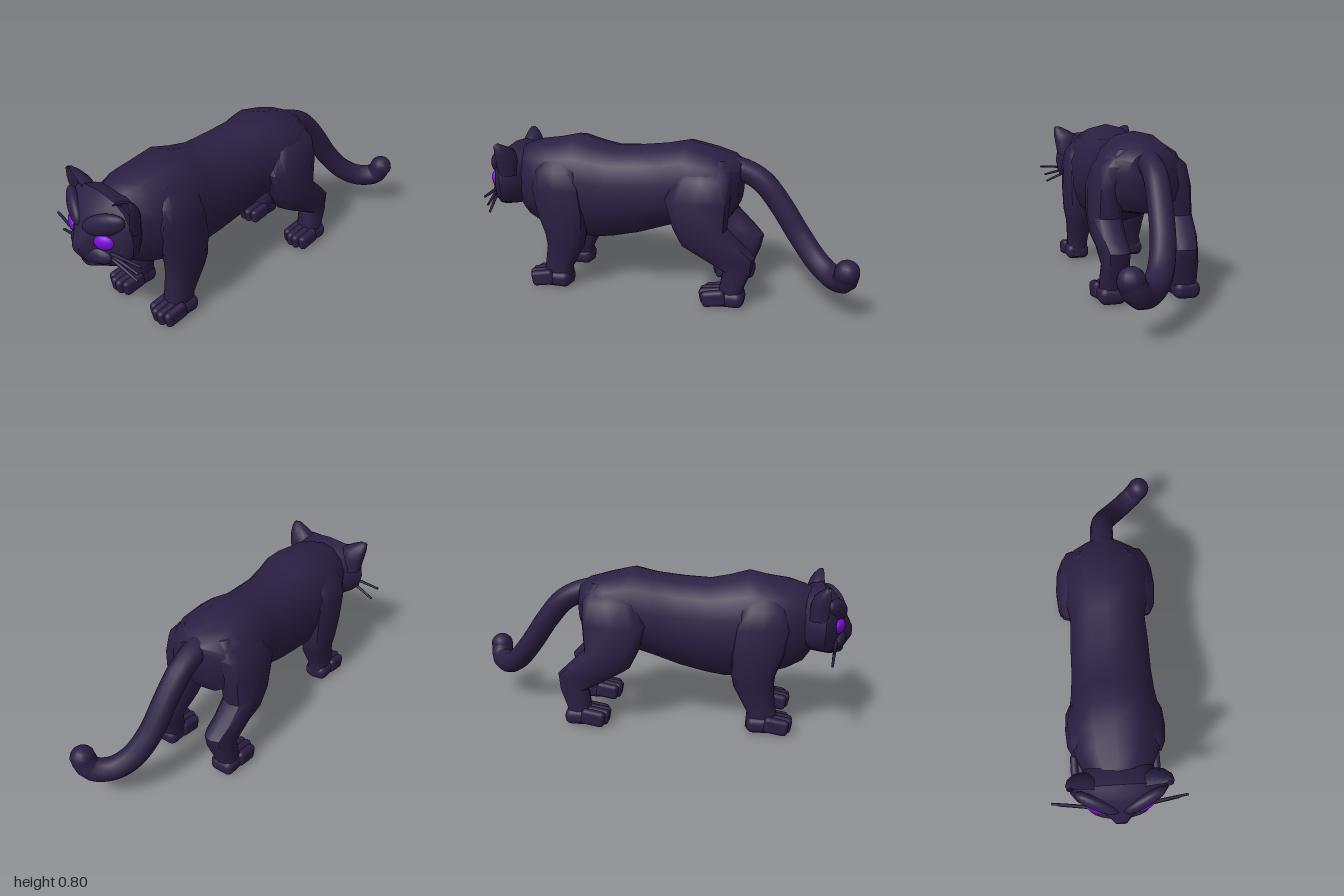
import * as THREE from 'three';
import { toCreasedNormals } from 'three/addons/utils/BufferGeometryUtils.js';
import { RoundedBoxGeometry } from 'three/addons/geometries/RoundedBoxGeometry.js';

const fur = new THREE.MeshStandardMaterial({ color: 0x2a1f42 });
fur.name = 'dark fur';
const glow = new THREE.MeshStandardMaterial({ color: 0x7d0ad8 });
glow.name = 'violet eye';

const V = (x, y, z) => new THREE.Vector3(x, y, z);

// Rounded-square oval as n [u, v] pairs; a smaller power is boxier
function oval(n, power) {
  const soft = (t) => Math.sign(t) * Math.pow(Math.abs(t), power);
  return Array.from({ length: n }, (_, i) => {
    const a = (i / n) * Math.PI * 2;
    return [soft(Math.sin(a)), soft(Math.cos(a))];
  });
}

// Closed skin over a row of rings, always facing outward
function loft(rings) {
  const n = rings[0].length, pts = rings.flat(), tris = [];
  for (let r = 0; r < rings.length - 1; r++) {
    for (let i = 0; i < n; i++) {
      const a = r * n + i, b = r * n + (i + 1) % n;
      tris.push([a, b, b + n], [a, b + n, a + n]);
    }
  }
  [0, rings.length - 1].forEach((r, end) => {
    const mid = V(0, 0, 0);
    rings[r].forEach((p) => mid.addScaledVector(p, 1 / n));
    const c = pts.push(mid) - 1;
    for (let i = 0; i < n; i++) {
      const a = r * n + i, b = r * n + (i + 1) % n;
      tris.push(end ? [a, b, c] : [b, a, c]);
    }
  });
  let volume = 0;
  tris.forEach(([a, b, c]) => { volume += pts[a].dot(V(0, 0, 0).crossVectors(pts[b], pts[c])); });
  const geo = new THREE.BufferGeometry().setFromPoints(pts);
  geo.setIndex(tris.flatMap(([a, b, c]) => (volume > 0 ? [a, b, c] : [a, c, b])));
  return toCreasedNormals(geo, 0.75);
}

// Trunk rings along z: [z, bottom, widest height, top, half width]
const trunk = (rows, n, power) => loft(rows.map(([z, low, mid, top, w]) =>
  oval(n, power).map(([u, v]) => V(u * w, mid + v * (v > 0 ? top - mid : mid - low), z))));

// Upright rings: [y, centre x, half width, back z, front z]; hollow dents the front
const limb = (rows, side, power = 0.75, hollow = false) => loft(rows.map(([y, x, w, back, front]) =>
  oval(12, power).map(([u, v]) => V(side * (x + u * w), y,
    (back + front) / 2 + (hollow && v > 0.6 ? -0.1 : v) * (front - back) / 2))));

export function createModel() {
  const model = new THREE.Group();
  model.name = 'bigCat';
  const add = (name, geo, mat = fur, parent = model) => {
    const m = new THREE.Mesh(geo, mat);
    m.name = name;
    parent.add(m);
    return m;
  };

  add('body', trunk([
    [0.82, 0.43, 0.56, 0.71, 0.12],
    [0.76, 0.34, 0.56, 0.74, 0.165],
    [0.68, 0.30, 0.55, 0.765, 0.205],
    [0.58, 0.27, 0.53, 0.78, 0.222],
    [0.48, 0.25, 0.52, 0.803, 0.222],
    [0.38, 0.24, 0.52, 0.775, 0.207],
    [0.28, 0.255, 0.52, 0.755, 0.2],
    [0.14, 0.29, 0.53, 0.763, 0.198],
    [0, 0.34, 0.54, 0.78, 0.19],
    [-0.11, 0.38, 0.56, 0.803, 0.215],
    [-0.24, 0.40, 0.58, 0.77, 0.228],
    [-0.34, 0.42, 0.59, 0.742, 0.185],
    [-0.385, 0.5, 0.6, 0.715, 0.105],
  ], 14, 0.9));

  // Head, with the face stepped back around the eyes
  const head = new THREE.Group();
  head.name = 'head';
  model.add(head);
  add('skull', trunk([
    [0.74, 0.44, 0.56, 0.71, 0.15],
    [0.80, 0.415, 0.56, 0.73, 0.21],
    [0.85, 0.41, 0.56, 0.738, 0.232],
    [0.89, 0.40, 0.55, 0.71, 0.2],
    [0.92, 0.395, 0.54, 0.685, 0.13],
    [0.943, 0.395, 0.53, 0.65, 0.085],
    [0.972, 0.44, 0.52, 0.585, 0.05],
    [0.998, 0.48, 0.51, 0.535, 0.026],
  ], 16, 0.77), fur, head);
  const blob = (name, at, size, mat = fur, yaw = 0, tilt = 0) => {
    const m = add(name, new THREE.SphereGeometry(1, 20, 14), mat, head);
    m.position.set(...at);
    m.scale.set(...size);
    m.rotation.set(0, yaw, tilt);
  };
  blob('chin', [0, 0.422, 0.935], [0.052, 0.032, 0.03]);
  blob('muzzle', [0, 0.478, 0.912], [0.15, 0.062, 0.062]);

  for (const side of [1, -1]) {
    const label = side > 0 ? 'left' : 'right';

    blob(label + 'Eye', [side * 0.12, 0.56, 0.925], [0.05, 0.037, 0.022], glow, side * 0.46, side * 0.15);
    blob(label + 'Brow', [side * 0.11, 0.64, 0.912], [0.115, 0.052, 0.034], fur, side * 0.42, side * 0.36);

    add(label + 'Ear', limb([
      [0.60, 0.16, 0.065, 0.77, 0.88],
      [0.68, 0.168, 0.07, 0.775, 0.885],
      [0.72, 0.176, 0.068, 0.79, 0.885],
      [0.745, 0.198, 0.045, 0.81, 0.877],
      [0.762, 0.214, 0.026, 0.83, 0.872],
      [0.77, 0.219, 0.012, 0.84, 0.865],
    ], side, 0.9, true), fur, head);

    add(label + 'FrontLeg', limb([
      [0.71, 0.13, 0.03, 0.48, 0.62],
      [0.64, 0.16, 0.065, 0.44, 0.665],
      [0.55, 0.175, 0.066, 0.415, 0.69],
      [0.42, 0.175, 0.07, 0.40, 0.665],
      [0.30, 0.165, 0.08, 0.405, 0.625],
      [0.23, 0.16, 0.07, 0.42, 0.62],
      [0.10, 0.16, 0.058, 0.49, 0.64],
      [0.02, 0.165, 0.056, 0.485, 0.64],
    ], side));

    add(label + 'HindLeg', limb([
      [0.73, 0.09, 0.04, -0.32, -0.14],
      [0.65, 0.135, 0.09, -0.36, -0.07],
      [0.54, 0.172, 0.083, -0.355, -0.02],
      [0.40, 0.18, 0.08, -0.345, -0.065],
      [0.31, 0.178, 0.078, -0.44, -0.11],
      [0.26, 0.168, 0.073, -0.49, -0.19],
      [0.19, 0.172, 0.066, -0.475, -0.33],
      [0.10, 0.18, 0.063, -0.44, -0.315],
      [0.02, 0.185, 0.06, -0.43, -0.31],
    ], side));

    // Paws, each with a pad and four sloping toes
    for (const [kind, x, z] of [['Front', 0.167, 0.6], ['Hind', 0.187, -0.335]]) {
      const paw = new THREE.Group();
      paw.name = label + kind + 'Paw';
      paw.position.set(side * x, 0, z);
      model.add(paw);
      add('pad', new RoundedBoxGeometry(0.132, 0.085, 0.18, 3, 0.035), fur, paw).position.set(0, 0.045, -0.02);
      for (let i = 0; i < 4; i++) {
        const outer = i === 0 || i === 3;
        const toe = add('toe', new RoundedBoxGeometry(0.045, 0.084, 0.125, 3, 0.022), fur, paw);
        toe.position.set((i - 1.5) * 0.036, 0.049, outer ? 0.04 : 0.057);
        toe.rotation.x = 0.18;
      }
    }
  }

  // Whiskers from root to tip
  for (const [x0, y0, x1, y1] of [
    [0.15, 0.508, 0.325, 0.518], [0.15, 0.498, 0.3, 0.467], [0.15, 0.48, 0.288, 0.425],
    [-0.15, 0.487, -0.325, 0.49], [-0.14, 0.462, -0.293, 0.41],
  ]) {
    const root = V(x0, y0, 0.91), tip = V(x1, y1, 0.885);
    const whisker = add('whisker', new THREE.CylinderGeometry(0.006, 0.009, root.distanceTo(tip), 8), fur, head);
    whisker.position.copy(root).add(tip).multiplyScalar(0.5);
    whisker.quaternion.setFromUnitVectors(V(0, 1, 0), tip.sub(root).normalize());
  }

  // Tail sweeping down to a curled tip on the left
  const path = new THREE.CatmullRomCurve3([
    V(0, 0.68, -0.32), V(-0.003, 0.655, -0.41), V(0, 0.605, -0.495), V(0.01, 0.5, -0.585),
    V(0.03, 0.35, -0.69), V(0.075, 0.24, -0.785), V(0.14, 0.192, -0.865), V(0.21, 0.205, -0.925),
    V(0.245, 0.262, -0.935),
  ]);
  add('tail', new THREE.TubeGeometry(path, 36, 0.06, 12));
  add('tailTip', new THREE.SphereGeometry(0.061, 14, 10)).position.set(0.243, 0.265, -0.935);

  return model;
}
